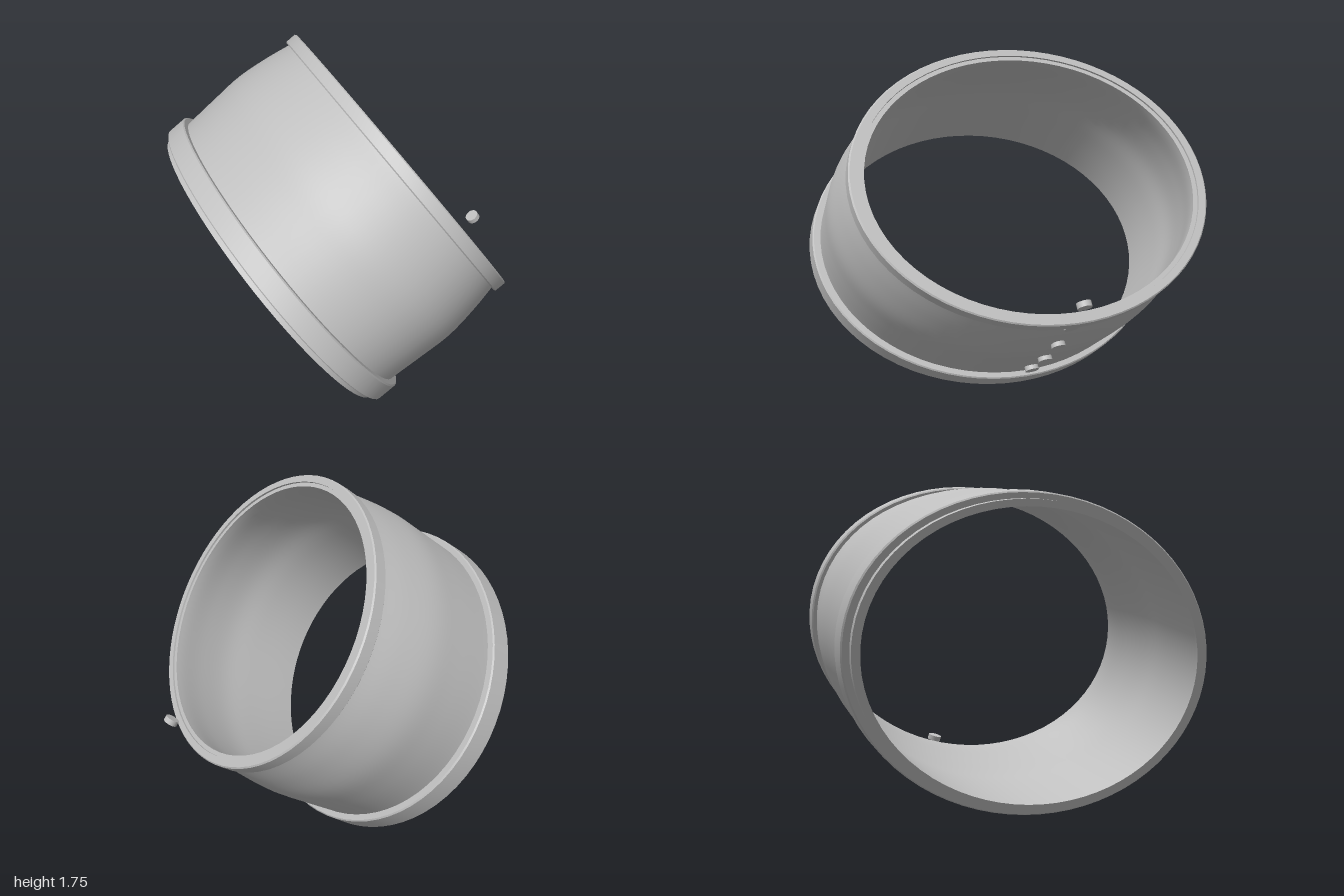
import * as THREE from 'three';
import { toCreasedNormals } from 'three/addons/utils/BufferGeometryUtils.js';

const DEPTH = 1.255; // the oval is wider along z

// Smooth a run of [radius, height] points
function smooth(points, n) {
  return new THREE.SplineCurve(points.map(([r, h]) => new THREE.Vector2(r, h))).getPoints(n);
}

// Closed cross-section swept round the oval
function ovalRing(name, section, material) {
  const geometry = new THREE.LatheGeometry([...section, section[0].clone()], 72);
  geometry.scale(1, 1, DEPTH);
  const mesh = new THREE.Mesh(toCreasedNormals(geometry, 0.6), material);
  mesh.name = name;
  return mesh;
}

// Band with softly chamfered corners
function band(name, inner, outer, bottom, top, material) {
  const c = 0.006;
  const section = [
    [inner, bottom], [outer - c, bottom], [outer, bottom + c],
    [outer, top - c], [outer - c, top], [inner, top],
  ].map(([r, h]) => new THREE.Vector2(r, h));
  return ovalRing(name, section, material);
}

export function createModel() {
  const model = new THREE.Group();
  const grey = new THREE.MeshStandardMaterial({ color: 0xbfbfbf });
  grey.name = 'plain grey';

  // The cuff leans 55 degrees towards +x
  const cuff = new THREE.Group();
  cuff.name = 'cuff';
  cuff.position.set(-0.375, 0.66, 0);
  cuff.rotation.z = THREE.MathUtils.degToRad(-55);
  model.add(cuff);

  // Thin gently bulging wall
  const outside = smooth([[0.762, -0.03], [0.762, 0.1], [0.771, 0.3], [0.776, 0.47], [0.758, 0.64], [0.735, 0.775], [0.728, 0.832]], 28);
  const inside = smooth([[0.694, 0.832], [0.7, 0.775], [0.722, 0.64], [0.739, 0.47], [0.735, 0.3], [0.73, 0.1], [0.728, -0.03]], 28);
  cuff.add(ovalRing('wall', [...outside, ...inside], grey));

  // Rims
  cuff.add(band('lowerRim', 0.745, 0.795, 0, 0.11, grey));
  cuff.add(band('upperRim', 0.715, 0.755, 0.775, 0.842, grey));

  // Row of round studs, the last one standing clear of the rim
  const studGeometry = new THREE.CylinderGeometry(0.036, 0.036, 0.028, 24);
  studGeometry.rotateZ(-Math.PI / 2);
  const studs = [[0.776, 0.2], [0.783, 0.39], [0.77, 0.577], [0.738, 0.759], [0.7, 0.949]];
  studs.forEach(([r, h], i) => {
    const stud = new THREE.Mesh(studGeometry, grey);
    stud.name = `stud${i + 1}`;
    stud.position.set(r, h, 0);
    cuff.add(stud);
  });

  return model;
}
